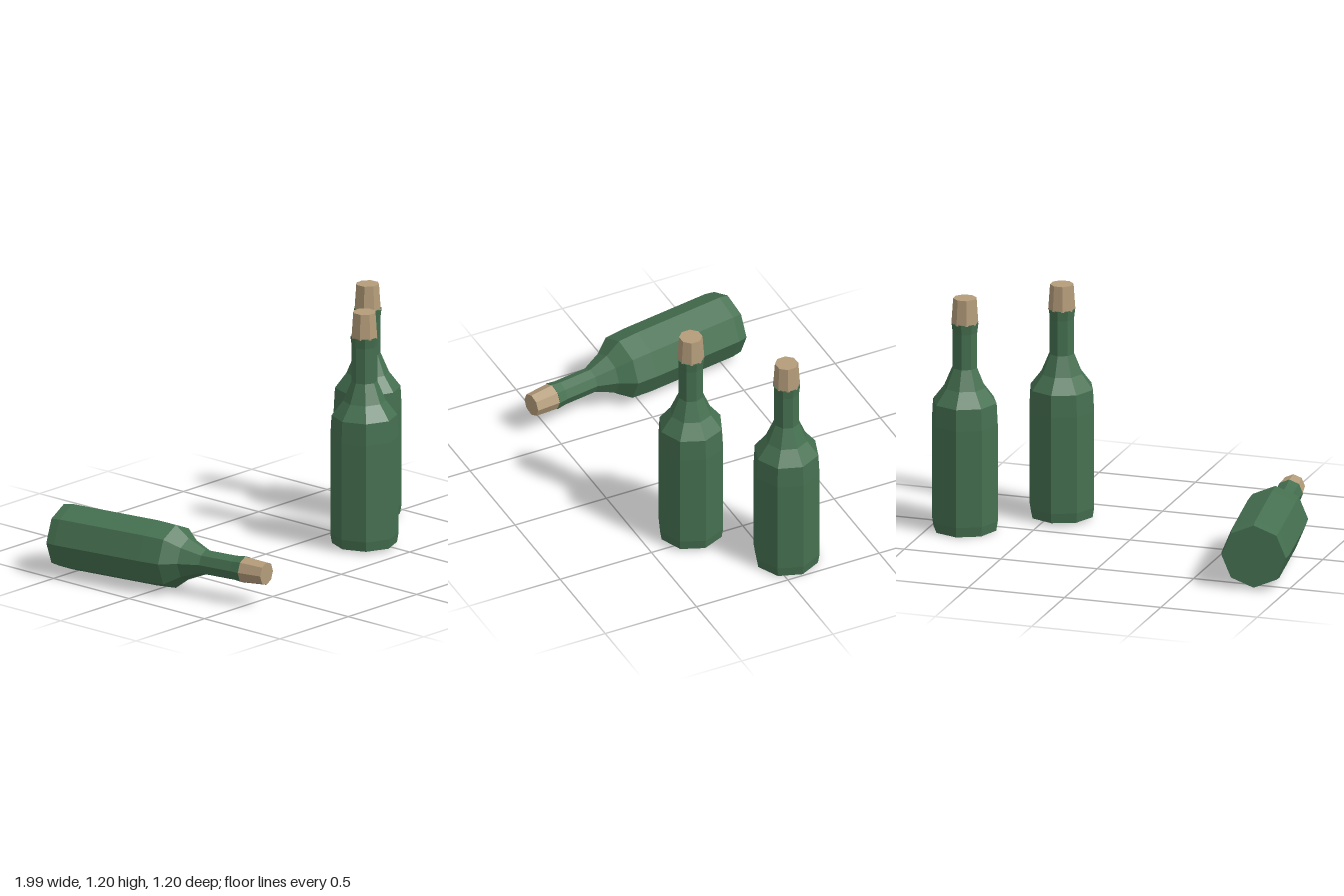
import * as THREE from 'three';

const SIDES = 8;
const glass = new THREE.MeshStandardMaterial({ color: 0x457050, flatShading: true });
const corkMaterial = new THREE.MeshStandardMaterial({ color: 0xb49c7a, flatShading: true });

// Outline of the glass from base centre to lip centre: [radius, height]
const PROFILE = [
  [0, 0], [0.16, 0], [0.168, 0.05], [0.168, 0.545], [0.162, 0.655],
  [0.105, 0.73], [0.063, 0.83], [0.063, 1.01], [0.069, 1.06], [0, 1.06],
].map(([r, y]) => new THREE.Vector2(r, y));

// One corked bottle standing on its own origin
function makeBottle(name, corkTurn) {
  const bottle = new THREE.Group();
  bottle.name = name;

  const body = new THREE.Mesh(new THREE.LatheGeometry(PROFILE, SIDES), glass);
  body.name = 'glassBody';

  const cork = new THREE.Mesh(new THREE.CylinderGeometry(0.058, 0.067, 0.13, SIDES), corkMaterial);
  cork.name = 'cork';
  cork.position.y = 1.12;
  cork.rotation.y = corkTurn;

  bottle.add(body, cork);
  return bottle;
}

export function createModel() {
  const model = new THREE.Group();
  model.name = 'bottles';

  // Two standing bottles
  const front = makeBottle('frontBottle', Math.PI / SIDES);
  front.position.set(0.44, 0.013, 0.255);

  const rear = makeBottle('rearBottle', Math.PI / SIDES);
  rear.position.set(0.83, 0, -0.077);
  rear.rotation.y = 0.06;

  // One lying bottle, neck towards the front
  const lying = makeBottle('lyingBottle', 0);
  lying.position.set(-0.838, 0.17, -0.578);
  lying.rotation.set(Math.PI / 2, 0.162, 0, 'YXZ');

  model.add(front, rear, lying);
  return model;
}
